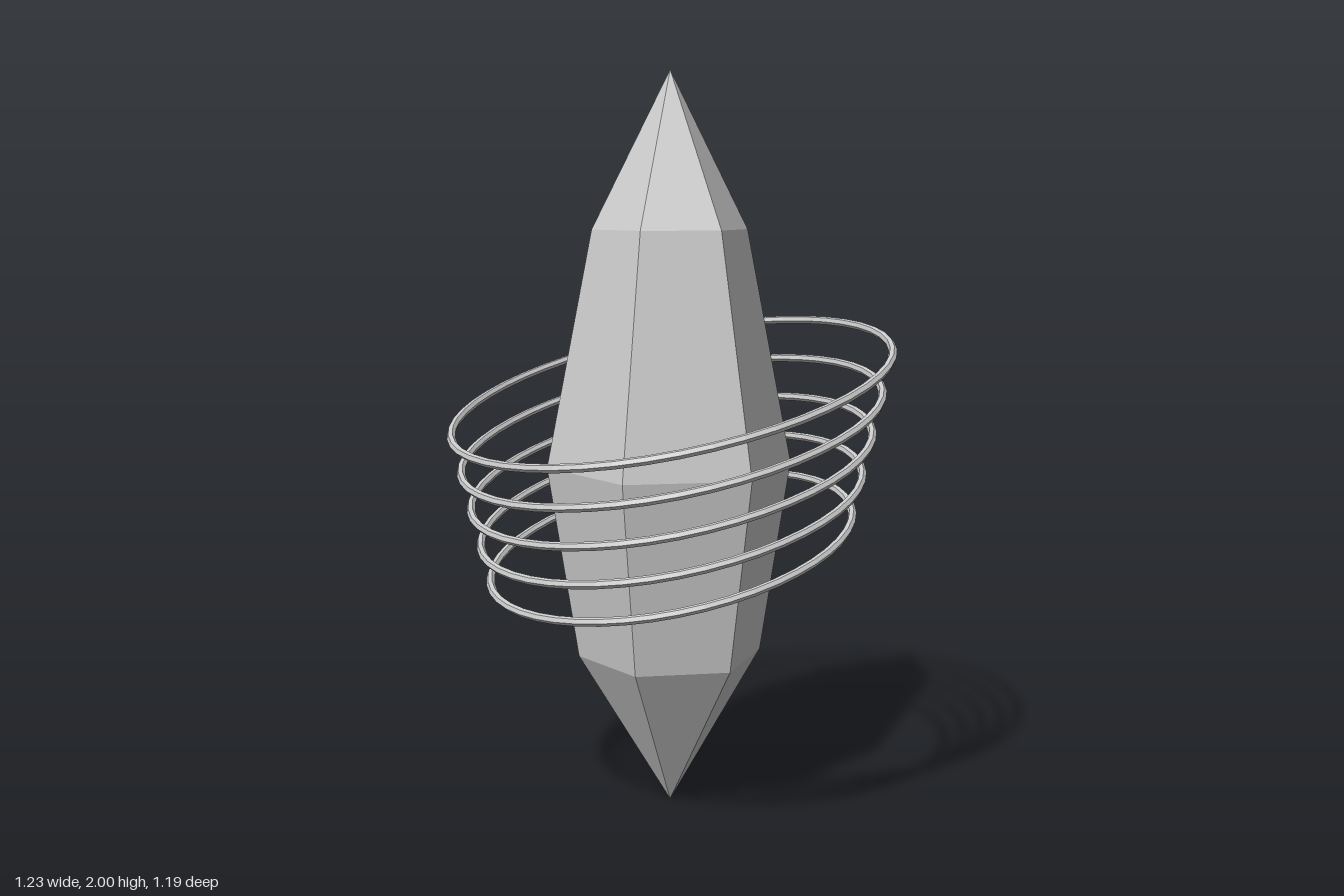
import * as THREE from 'three';

export function createModel() {
  const model = new THREE.Group();
  const stone = new THREE.MeshStandardMaterial({ color: 0xcccccc, flatShading: true });
  stone.name = 'pale grey';

  // Six-sided crystal, pointed at both ends, with corners on the x axis
  const profile = [[0, 0], [0.253, 0.425], [0.335, 0.95], [0.21, 1.585], [0, 2]]
    .map(([r, y]) => new THREE.Vector2(r, y));
  const crystal = new THREE.Mesh(new THREE.LatheGeometry(profile, 6, Math.PI / 2), stone);
  crystal.name = 'crystal';
  model.add(crystal);

  // Five parallel rings, tilted down at the front and widening upwards
  const rings = new THREE.Group();
  rings.name = 'rings';
  for (let i = 0; i < 5; i++) {
    const ring = new THREE.Mesh(new THREE.TorusGeometry(0.502 + i * 0.0252, 0.0115, 6, 48), stone);
    ring.name = `ring${i + 1}`;
    ring.position.y = 0.741 + i * 0.106;
    ring.rotation.x = Math.PI / 2 + 0.25;
    rings.add(ring);
  }
  model.add(rings);

  return model;
}
